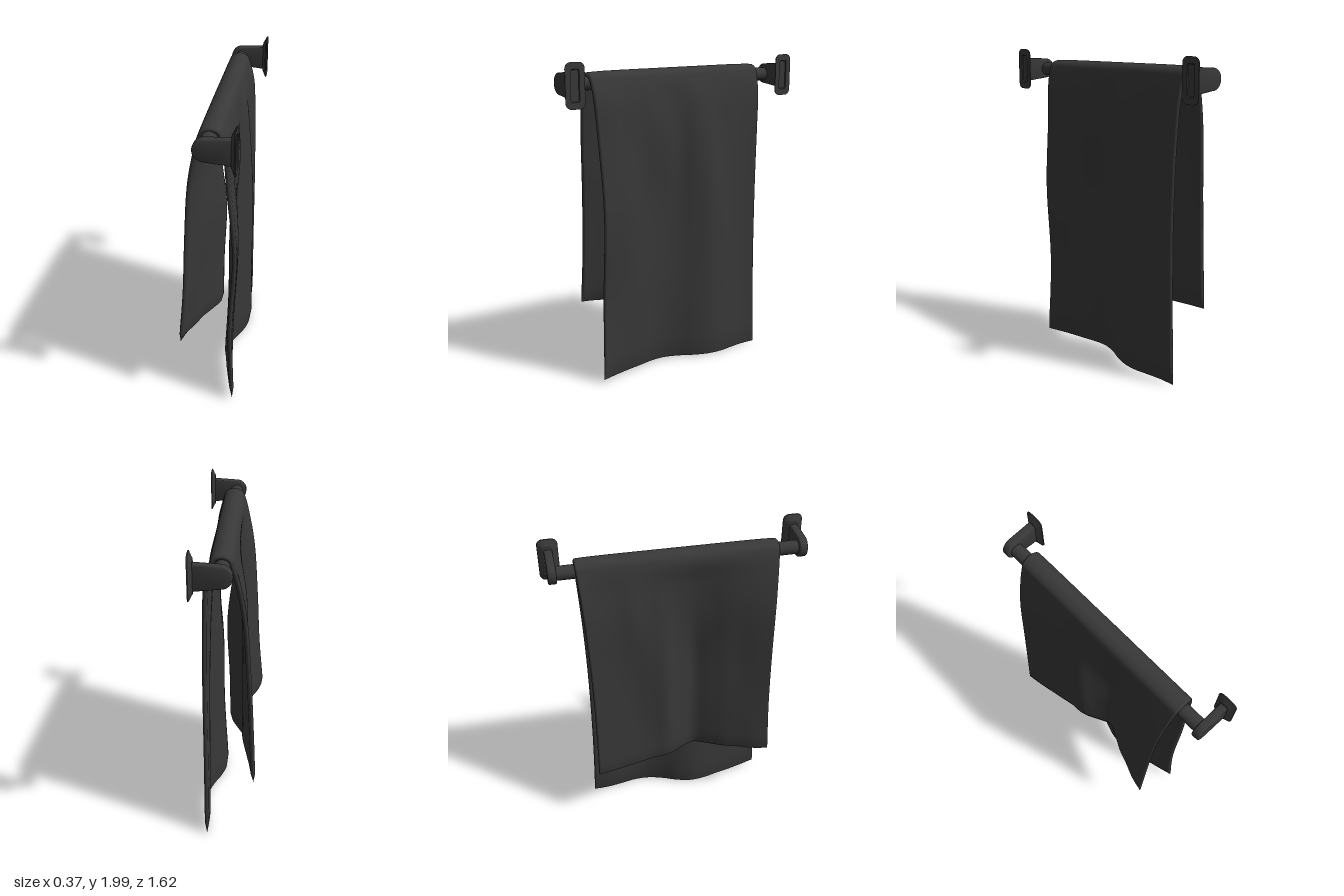
import * as THREE from 'three';
import { toCreasedNormals } from 'three/addons/utils/BufferGeometryUtils.js';

const material = new THREE.MeshStandardMaterial({ color: 0x383838 });
const BAR = { x: 0.02, y: 1.865, r: 0.042 };

// Skin a list of closed rings that all have the same number of points.
function loft(rings) {
  const n = rings[0].length, index = [];
  for (let i = 0; i < rings.length - 1; i++) {
    for (let j = 0; j < n; j++) {
      const a = i * n + j, b = i * n + (j + 1) % n;
      index.push(a, b, a + n, b, b + n, a + n);
    }
  }
  const geometry = new THREE.BufferGeometry().setFromPoints(rings.flat());
  geometry.setIndex(index);
  geometry.computeVertexNormals();
  return geometry;
}

function addMesh(parent, name, geometry) {
  const mesh = new THREE.Mesh(geometry, material);
  mesh.name = name;
  parent.add(mesh);
  return mesh;
}

// Rounded rectangle in the yz plane at a given x.
function roundedRing(x, halfZ, halfY, r) {
  const points = [];
  for (let c = 0; c < 4; c++) {
    const sy = c === 0 || c === 3 ? 1 : -1, sz = c < 2 ? 1 : -1;
    for (let k = 0; k <= 5; k++) {
      const a = (c + k / 5) * Math.PI / 2;
      points.push(new THREE.Vector3(x,
        sy * (halfY - r) + r * Math.cos(a), sz * (halfZ - r) + r * Math.sin(a)));
    }
  }
  return points;
}

// Smooth value through evenly spaced samples, t from 0 to 1.
function sampler(values) {
  const curve = new THREE.CatmullRomCurve3(
    values.map((v, i) => new THREE.Vector3(v, i * 0.1, 0)));
  return t => curve.getPoint(t).x;
}

// Cloth folds: x at thirteen stations from back (-z) to front (+z), by height.
const shortFolds = [
  [0.435, [-0.16, -0.145, -0.125, -0.105, -0.085, -0.075, -0.03, 0.01, -0.03, -0.08, -0.115, -0.155, -0.178]],
  [0.8, [-0.145, -0.128, -0.11, -0.09, -0.085, -0.085, -0.02, 0.015, -0.02, -0.06, -0.09, -0.12, -0.147]],
  [1.2, [-0.125, -0.11, -0.095, -0.088, -0.09, -0.085, -0.02, 0.03, 0.0, -0.035, -0.06, -0.095, -0.127]],
  [1.55, [-0.1, -0.09, -0.082, -0.085, -0.07, -0.06, -0.03, -0.01, -0.015, -0.04, -0.06, -0.08, -0.1]],
  [1.75, [-0.065, -0.055, -0.052, -0.055, -0.048, -0.04, -0.03, -0.022, -0.025, -0.035, -0.045, -0.055, -0.063]],
].map(([y, xs]) => [y, sampler(xs)]);
const longFolds = [
  [1.76, [0.112, 0.102, 0.1, 0.104, 0.11, 0.108, 0.094, 0.098, 0.106, 0.104, 0.108, 0.112, 0.107]],
  [1.55, [0.125, 0.115, 0.113, 0.118, 0.135, 0.128, 0.096, 0.112, 0.122, 0.116, 0.12, 0.128, 0.122]],
  [1.1, [0.133, 0.125, 0.13, 0.15, 0.16, 0.13, 0.09, 0.082, 0.09, 0.11, 0.142, 0.152, 0.158]],
  [0.55, [0.133, 0.128, 0.138, 0.155, 0.157, 0.13, 0.095, 0.08, 0.083, 0.098, 0.118, 0.13, 0.133]],
  [0.021, [0.133, 0.133, 0.145, 0.16, 0.155, 0.125, 0.08, 0.053, 0.058, 0.08, 0.1, 0.125, 0.153]],
].map(([y, xs]) => [y, sampler(xs)]);

function towelGeometry() {
  const columns = 84, rows = 98, thickness = 0.014, rings = [];
  for (let i = 0; i <= columns; i++) {
    // Columns bunch towards both side hems, which taper to a rounded edge.
    const s = Math.cos(i / columns * Math.PI), t = (s + 1) / 2;
    const hem = Math.min(1, Math.sqrt(Math.max(0, (1 - Math.abs(s)) / 0.015)));
    const hang = ([y, x], tilt) => new THREE.Vector3(x(t), y + (y < 0.5 ? tilt * s : 0), 0);
    const crest = 0.057 - 0.004 * s - 0.006 * s ** 8;
    const path = shortFolds.map(f => hang(f, 0.01));
    for (let k = 0; k <= 4; k++) {
      const a = Math.PI * (1 - k / 4);
      path.push(new THREE.Vector3(BAR.x + 0.006 + 0.058 * Math.cos(a), BAR.y + crest * Math.sin(a), 0));
    }
    path.push(...longFolds.map(f => hang(f, 0.012)));
    const curve = new THREE.CatmullRomCurve3(path);

    const outer = [], inner = [];
    for (let j = 0; j <= rows; j++) {
      const v = j / rows, p = curve.getPoint(v), d = curve.getTangent(v);
      const end = Math.min(1, Math.sqrt(Math.min(v, 1 - v) / 0.012));
      const h = thickness * hem * end;
      const flare = p.y > 0.95 ? 0.035 : 0.023;
      const half = 0.575 + flare * ((p.y - 0.95) / 0.95) ** 2;
      const z = half * s - 0.008;
      outer.push(new THREE.Vector3(p.x - d.y * h, p.y + d.x * h, z));
      inner.push(new THREE.Vector3(p.x + d.y * h, p.y - d.x * h, z));
    }
    rings.push([...outer, ...inner.reverse()]);
  }
  return loft(rings);
}

// Side outline of an arm: round nose at the bar, flaring to the wall plate.
function armGeometry() {
  const shape = new THREE.Shape();
  shape.moveTo(0.15, -0.072);
  shape.lineTo(0.15, 0.065);
  shape.lineTo(0.0, 0.056);
  shape.absarc(0, 0, 0.056, Math.PI / 2, Math.PI * 1.5, false);
  shape.closePath();
  const geometry = new THREE.ExtrudeGeometry(shape, {
    depth: 0.032, bevelEnabled: true, bevelSize: 0.008, bevelThickness: 0.009,
    bevelSegments: 3, curveSegments: 16,
  });
  geometry.translate(0, 0, -0.016);
  return toCreasedNormals(geometry, 0.6);
}

// Flared wall plate with a shallow recess in its back.
function plateGeometry() {
  const rings = [
    [0.145, 0, 0, 0], [0.145, 0.03, 0.095, 0.02], [0.152, 0.04, 0.106, 0.028],
    [0.165, 0.06, 0.13, 0.036], [0.171, 0.061, 0.131, 0.036], [0.171, 0.027, 0.092, 0.01],
    [0.163, 0.025, 0.088, 0.01], [0.163, 0, 0, 0],
  ].map(r => roundedRing(...r));
  return toCreasedNormals(loft(rings), 0.5);
}

export function createModel() {
  const model = new THREE.Group();
  model.name = 'towelRail';

  // Bar along z
  const bar = addMesh(model, 'bar', new THREE.CylinderGeometry(BAR.r, BAR.r, 1.47, 32));
  bar.rotation.x = Math.PI / 2;
  bar.position.set(BAR.x, BAR.y, 0);

  // Wall brackets at both ends
  for (const side of [1, -1]) {
    const bracket = new THREE.Group();
    bracket.name = side > 0 ? 'frontBracket' : 'backBracket';
    addMesh(bracket, 'arm', armGeometry());
    addMesh(bracket, 'wallPlate', plateGeometry());
    bracket.position.set(BAR.x, BAR.y + 0.004, side * 0.748);
    model.add(bracket);
  }

  // Folded cloth hung over the bar
  addMesh(model, 'towel', towelGeometry());
  return model;
}
